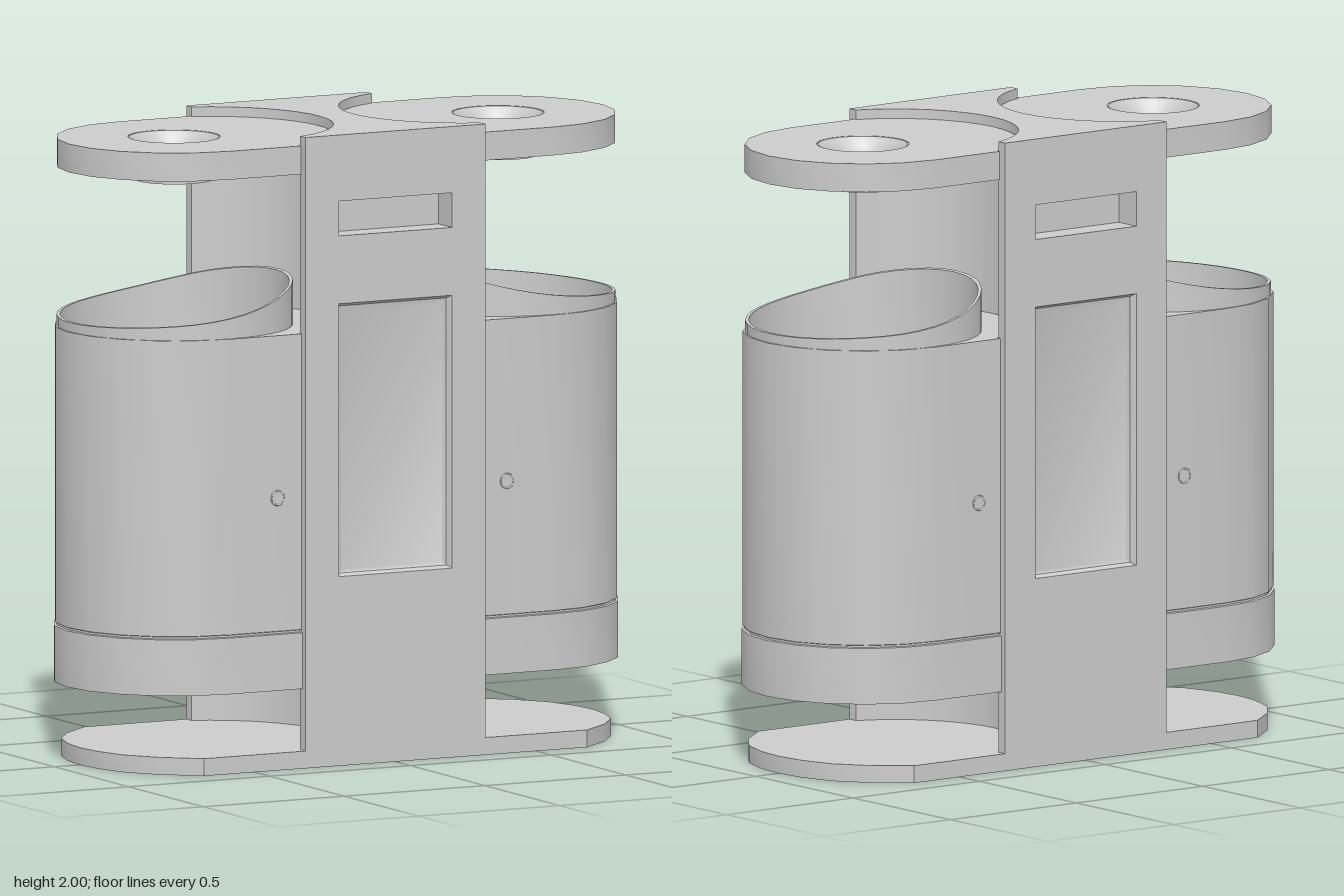
import * as THREE from 'three';
import { toCreasedNormals } from 'three/addons/utils/BufferGeometryUtils.js';

const mat = new THREE.MeshStandardMaterial({ color: 0xcccccc });
const sheet = new THREE.MeshStandardMaterial({ color: 0xcccccc, side: THREE.DoubleSide });

const IN = 0.445;                 // x of the centre of the column hollow
const OUT = 0.573;                // x of the centre of the round bin end
const CUT = 0.386;                // radius of the hollow in the column sides
const HALF = 0.32, DEPTH = 0.4;   // column half width and half depth
const CUT_Z = Math.sqrt(CUT ** 2 - (IN - HALF) ** 2);

function add(parent, name, geometry, material = mat) {
  const mesh = new THREE.Mesh(geometry, material);
  mesh.name = name;
  parent.add(mesh);
  return mesh;
}

// Points on a circle arc in plan
function arc(cx, r, a0, a1, n) {
  return Array.from({ length: n + 1 }, (_, i) => {
    const a = a0 + ((a1 - a0) * i) / n;
    return new THREE.Vector2(cx + r * Math.cos(a), r * Math.sin(a));
  });
}

// Hollow in the column side, from one face panel to the other
function cutArc(r = CUT) {
  const t = Math.acos((IN - HALF) / CUT);
  return arc(IN, r, Math.PI + t, Math.PI - t, 16);
}

// Bin outline: round outer end, straight sides to the column, inner end in the hollow
function outline(r, centre = OUT) {
  return [...arc(centre, r, -Math.PI / 2, Math.PI / 2, 10), new THREE.Vector2(HALF + 0.002, r),
    ...cutArc(CUT - 0.003).reverse(), new THREE.Vector2(HALF + 0.002, -r)];
}

// Skin over rings of equal point count, with optional end caps
function loft(rings, capStart, capEnd) {
  const n = rings[0].length, pos = rings.flat().flatMap(p => [p.x, p.y, p.z]), idx = [];
  for (let r = 0; r < rings.length - 1; r++)
    for (let i = 0; i < n; i++) {
      const a = r * n + i, b = r * n + ((i + 1) % n);
      idx.push(a, b, a + n, b, b + n, a + n);
    }
  const last = (rings.length - 1) * n;
  for (let i = 1; i < n - 1; i++) {
    if (capStart) idx.push(0, i + 1, i);
    if (capEnd) idx.push(last, last + i, last + i + 1);
  }
  const g = new THREE.BufferGeometry();
  g.setAttribute('position', new THREE.Float32BufferAttribute(pos, 3));
  g.setIndex(idx);
  return toCreasedNormals(g, 0.6);
}

// Plan points raised to a height, fixed or varying with x
const raise = (pts, y) => pts.map(p => new THREE.Vector3(p.x, typeof y === 'function' ? y(p.x) : y, -p.y));

// Plan shape extruded upwards from y0 to y1
function slab(shape, y0, y1) {
  const g = new THREE.ExtrudeGeometry(shape, { depth: y1 - y0, bevelEnabled: false, curveSegments: 28 });
  return toCreasedNormals(g.rotateX(-Math.PI / 2).translate(0, y0, 0), 0.6);
}

// Height of the sloping bin mouth
const MOUTH = [[0.2, 1.527], [0.32, 1.495], [0.42, 1.467], [0.5, 1.449], [0.6, 1.433], [0.7, 1.422], [0.96, 1.403]];
function mouth(x) {
  const k = Math.max(1, MOUTH.findIndex(p => p[0] >= x));
  const [x0, y0] = MOUTH[k - 1], [x1, y1] = MOUTH[k];
  return y0 + ((y1 - y0) * (x - x0)) / (x1 - x0);
}

const rect = (x, y0, y1, z) => [[-x, y0], [x, y0], [x, y1], [-x, y1]].map(p => new THREE.Vector3(p[0], p[1], z));
const flat = pts => pts.map(p => new THREE.Vector2(p.x, p.y));

// One face of the column with a slot and a recessed door
function columnFace() {
  const g = new THREE.Group();
  g.name = 'columnFace';
  const slot = rect(0.2, 1.68, 1.79, DEPTH), door = rect(0.2, 0.6, 1.465, DEPTH);
  const shape = new THREE.Shape(flat(rect(HALF, 0, 2, 0)));
  for (const hole of [slot, door]) shape.holes.push(new THREE.Path(flat(hole)));
  add(g, 'facePanel', new THREE.ExtrudeGeometry(shape, { depth: DEPTH - CUT_Z, bevelEnabled: false }).translate(0, 0, CUT_Z));
  add(g, 'slotPocket', loft([rect(0.2, 1.68, 1.79, 0.31), slot], true, false), sheet);
  add(g, 'recessedDoor', loft([rect(0.178, 0.617, 1.437, 0.375), rect(0.19, 0.608, 1.455, 0.38), door], true, false), sheet);
  return g;
}

// Bin, lid, ashtray and foot on one side
function binSide() {
  const g = new THREE.Group();
  g.name = 'binSide';

  // Bin shell: band, groove and body
  const profile = [[0.383, 0.25], [0.383, 0.428], [0.375, 0.43], [0.375, 0.436], [0.379, 0.438], [0.379, 1.375]];
  add(g, 'binShell', loft(profile.map(([r, y]) => raise(outline(r), y)), true, false));

  // Flat shoulder around the mouth
  const shoulder = new THREE.Shape(outline(0.379));
  shoulder.holes.push(new THREE.Path().absarc(OUT, 0, 0.365, 0, Math.PI * 2, true));
  add(g, 'binShoulder', new THREE.ShapeGeometry(shoulder, 28).rotateX(-Math.PI / 2).translate(0, 1.375, 0), sheet);

  // Round sloping lip and the inner floor
  const lip = [[0.371, 1.37], [0.371, mouth], [0.36, mouth], [0.36, 1.275]];
  add(g, 'binMouth', loft(lip.map(([r, y]) => raise(arc(OUT, r, 0, Math.PI * 2, 40).slice(1), y)), false, true));

  // Lock on the front and back of the bin
  for (const s of [1, -1]) {
    add(g, 'lockRing', new THREE.TorusGeometry(0.022, 0.003, 6, 20)).position.set(0.407, 0.86, s * 0.379);
    add(g, 'lockCore', new THREE.CylinderGeometry(0.02, 0.02, 0.006, 16).rotateX(Math.PI / 2))
      .position.set(0.407, 0.86, s * 0.378);
  }

  // Lid with a round hole holding the ashtray
  const lid = new THREE.Shape(outline(0.373));
  lid.holes.push(new THREE.Path().absarc(0.575, 0, 0.145, 0, Math.PI * 2, true));
  add(g, 'lid', slab(lid, 1.88, 1.97));
  const cup = [[0, 1.835], [0.123, 1.835], [0.123, 1.88], [0.147, 1.88], [0.147, 1.969],
    [0.142, 1.969], [0.132, 1.958], [0.122, 1.943], [0.114, 1.925], [0.106, 1.905], [0.1, 1.9], [0, 1.9]];
  const bowl = new THREE.LatheGeometry(cup.map(p => new THREE.Vector2(...p)), 28);
  add(g, 'ashtray', toCreasedNormals(bowl, 0.6)).position.x = 0.575;

  // Foot plate, wrapping round the column hollow
  const rim = [[0.68, 0.4], [0.79, 0.31], [0.865, 0.21], [0.9, 0.1], [0.91, 0]];
  const edge = [[HALF, 0.4], ...rim, ...rim.slice(0, -1).reverse().map(([x, z]) => [x, -z]), [HALF, -0.4]];
  const foot = new THREE.Shape([...edge.map(p => new THREE.Vector2(...p)), ...cutArc()]);
  add(g, 'footPlate', slab(foot, 0, 0.055));

  // Hollow side wall of the column
  const pos = [], idx = [];
  cutArc().forEach((p, i) => {
    pos.push(p.x, 0, p.y, p.x, 2, p.y);
    if (i) idx.push(2 * i - 2, 2 * i - 1, 2 * i, 2 * i, 2 * i - 1, 2 * i + 1);
  });
  const wall = new THREE.BufferGeometry();
  wall.setAttribute('position', new THREE.Float32BufferAttribute(pos, 3));
  wall.setIndex(idx);
  wall.computeVertexNormals();
  add(g, 'columnSideWall', wall, sheet);
  return g;
}

export function createModel() {
  const model = new THREE.Group();
  model.name = 'doubleLitterBin';

  // Both halves are half-turn copies
  for (const turn of [0, Math.PI]) {
    for (const part of [columnFace(), binSide()]) {
      part.rotation.y = turn;
      model.add(part);
    }
  }

  // Top of the column between the hollows; the column is open below
  const right = cutArc();
  const top = new THREE.Shape([...right, ...right.map(p => new THREE.Vector2(-p.x, -p.y))]);
  add(model, 'columnTop', slab(top, 1.975, 2));
  return model;
}
